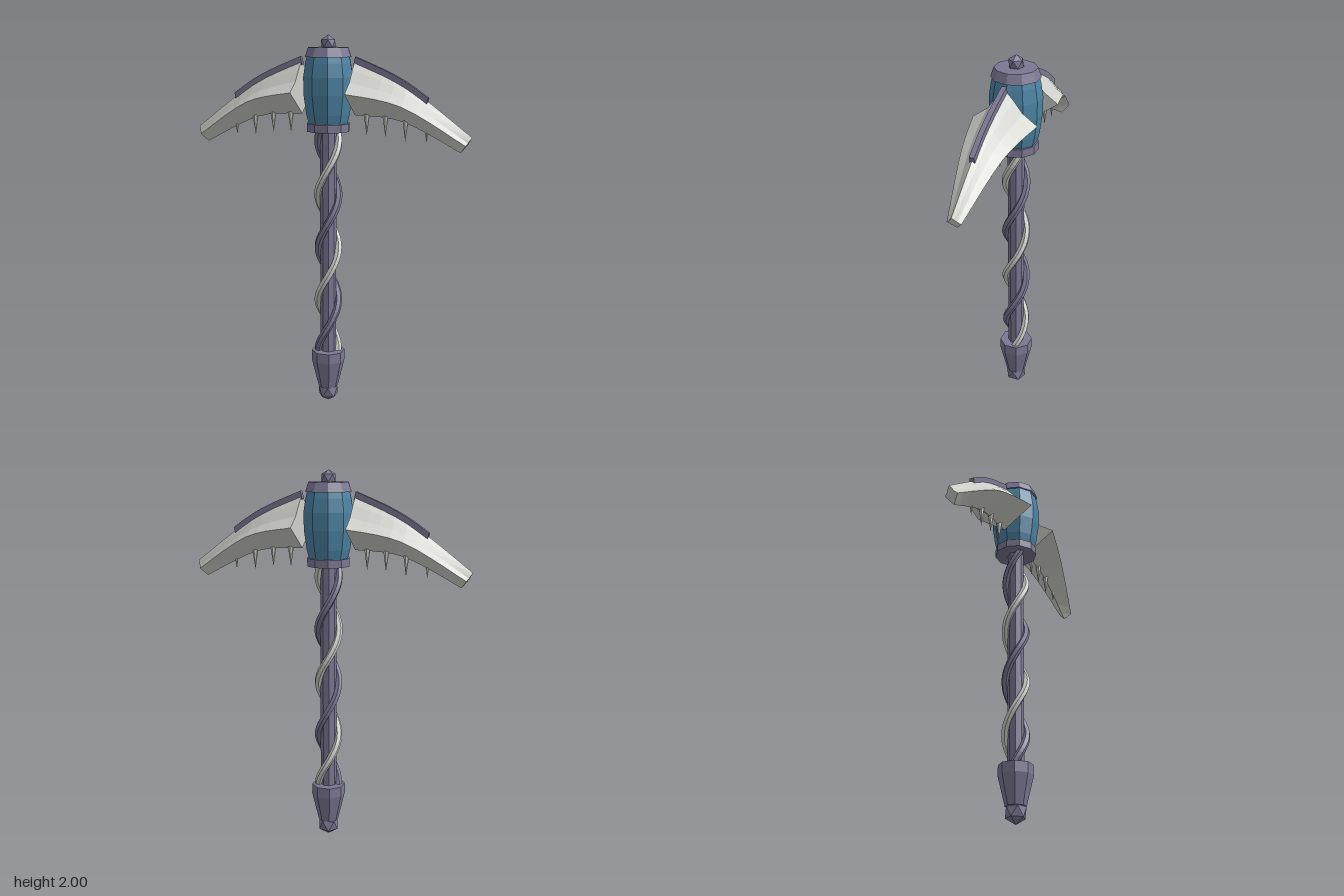
import * as THREE from 'three';

const mat = (name, color) => Object.assign(new THREE.MeshStandardMaterial({ color }), { name });

// Unshared vertices give crisp facets
function faceted(geo) {
  const g = geo.index ? geo.toNonIndexed() : geo;
  g.computeVertexNormals();
  return g;
}

function add(parent, name, geo, material) {
  const mesh = new THREE.Mesh(faceted(geo), material);
  mesh.name = name;
  parent.add(mesh);
  return mesh;
}

// Polygonal turned part from [radius, y] points, with a flat side facing front
function turned(points, sides) {
  const pts = points.map(([r, y]) => new THREE.Vector2(r, y));
  return new THREE.LatheGeometry(pts, sides, Math.PI / sides);
}

const spline = (pts) => new THREE.SplineCurve(pts.map(([x, y]) => new THREE.Vector2(x, y)));
const topEdge = spline([[0.145, 1.875], [0.42, 1.75], [0.755, 1.507]]);
const midEdge = spline([[0.145, 1.715], [0.42, 1.655], [0.73, 1.468]]);
const lowEdge = spline([[0.145, 1.597], [0.4, 1.572], [0.7, 1.428]]);

// Four-pointed section swept along the three edge curves
function bladeGeometry() {
  const half = [[1, 0], [0.7, 0.27], [0.33, 0.55], [0, 1]]; // [height toward top, width]
  const section = [...half, [-1, 0], ...half.slice(1).reverse().map(([h, w]) => [h, -w])];
  const n = section.length, steps = 10, pos = [], idx = [];
  for (let i = 0; i <= steps; i++) {
    const t = i / steps;
    const top = topEdge.getPoint(t), mid = midEdge.getPoint(t), low = lowEdge.getPoint(t);
    const width = THREE.MathUtils.mapLinear(mid.x, 0.145, 0.73, 0.167, 0.036);
    for (const [h, w] of section) {
      const p = mid.clone().lerp(h >= 0 ? top : low, Math.abs(h));
      pos.push(p.x, p.y, w * width);
    }
  }
  for (let i = 0; i < steps; i++) {
    for (let j = 0; j < n; j++) {
      const a = i * n + j, b = i * n + (j + 1) % n;
      idx.push(a, b, a + n, b, b + n, a + n);
    }
  }
  // End caps fan out from the middle
  const start = pos.length / 3, last = steps * n;
  for (const t of [0, 1]) {
    const m = midEdge.getPoint(t);
    pos.push(m.x, m.y, 0);
  }
  for (let j = 0; j < n; j++) {
    const k = (j + 1) % n;
    idx.push(start, k, j, start + 1, last + j, last + k);
  }
  const g = new THREE.BufferGeometry();
  g.setAttribute('position', new THREE.Float32BufferAttribute(pos, 3));
  g.setIndex(idx);
  return g;
}

// Thin raised rib following the top of the blade
function ribGeometry() {
  const upper = [], lower = [];
  for (let i = 0; i <= 8; i++) {
    const p = topEdge.getPoint(i / 8 * 0.65);
    upper.push(new THREE.Vector2(p.x + 0.004, p.y + 0.017));
    lower.unshift(new THREE.Vector2(p.x - 0.006, p.y - 0.025));
  }
  const g = new THREE.ExtrudeGeometry(new THREE.Shape([...upper, ...lower]), { depth: 0.026, bevelEnabled: false });
  return g.translate(0, 0, -0.013);
}

// Helical strand around the shaft
class Helix extends THREE.Curve {
  constructor(phase) {
    super();
    this.phase = phase;
  }
  getPoint(t, target = new THREE.Vector3()) {
    const y = 0.27 + t * 1.26;
    const a = (1.43 - y) / 0.58 * Math.PI * 2 + this.phase;
    return target.set(0.055 * Math.cos(a), y, 0.055 * Math.sin(a));
  }
}

export function createModel() {
  const model = new THREE.Group();
  model.name = 'pickaxe';
  const metal = mat('pale metal', 0xd0d0cb);
  const purple = mat('dusky purple', 0x7d7894);
  const blue = mat('steel blue', 0x4c83a3);

  // Handle
  add(model, 'shaft', turned([[0.043, 0.28], [0.043, 1.53]], 8), purple);
  add(model, 'paleStrand', new THREE.TubeGeometry(new Helix(0), 64, 0.02, 6), metal);
  add(model, 'purpleStrand', new THREE.TubeGeometry(new Helix(Math.PI), 64, 0.02, 6), purple);
  add(model, 'gripEnd', turned([[0, 0.09], [0.054, 0.09], [0.091, 0.245], [0.09, 0.3], [0, 0.3]], 8), purple);

  // Faceted knobs at both ends, standing on a point
  for (const [name, r, y] of [['pommel', 0.06, 0.06], ['finial', 0.042, 1.958]]) {
    const knob = new THREE.IcosahedronGeometry(r, 0);
    knob.rotateZ(-Math.atan(2 / (1 + Math.sqrt(5)))).translate(0, y, 0);
    add(model, name, knob, purple);
  }

  // Head barrel and its collars
  add(model, 'core', turned([[0.1, 1.53], [0.118, 1.6], [0.132, 1.7], [0.133, 1.79], [0.122, 1.86], [0.112, 1.9]], 10), blue);
  add(model, 'lowerCollar', turned([[0, 1.51], [0.115, 1.51], [0.115, 1.552], [0, 1.552]], 10), purple);
  add(model, 'upperCollar', turned([[0, 1.89], [0.124, 1.89], [0.107, 1.938], [0, 1.938]], 10), purple);

  // Two matching arms, the second turned half round
  for (const side of ['left', 'right']) {
    const arm = new THREE.Group();
    arm.name = side + 'Arm';
    if (side === 'right') arm.rotation.y = Math.PI;
    add(arm, 'blade', bladeGeometry(), metal);
    add(arm, 'rib', ribGeometry(), purple);
    // Spikes under the blade
    for (const [x, tip] of [[0.21, 1.495], [0.31, 1.492], [0.415, 1.472], [0.525, 1.47]]) {
      const spike = add(arm, 'spike', new THREE.ConeGeometry(0.018, 0.12, 6), metal);
      spike.rotation.x = Math.PI;
      spike.position.set(x, tip + 0.06, 0);
    }
    model.add(arm);
  }
  return model;
}
